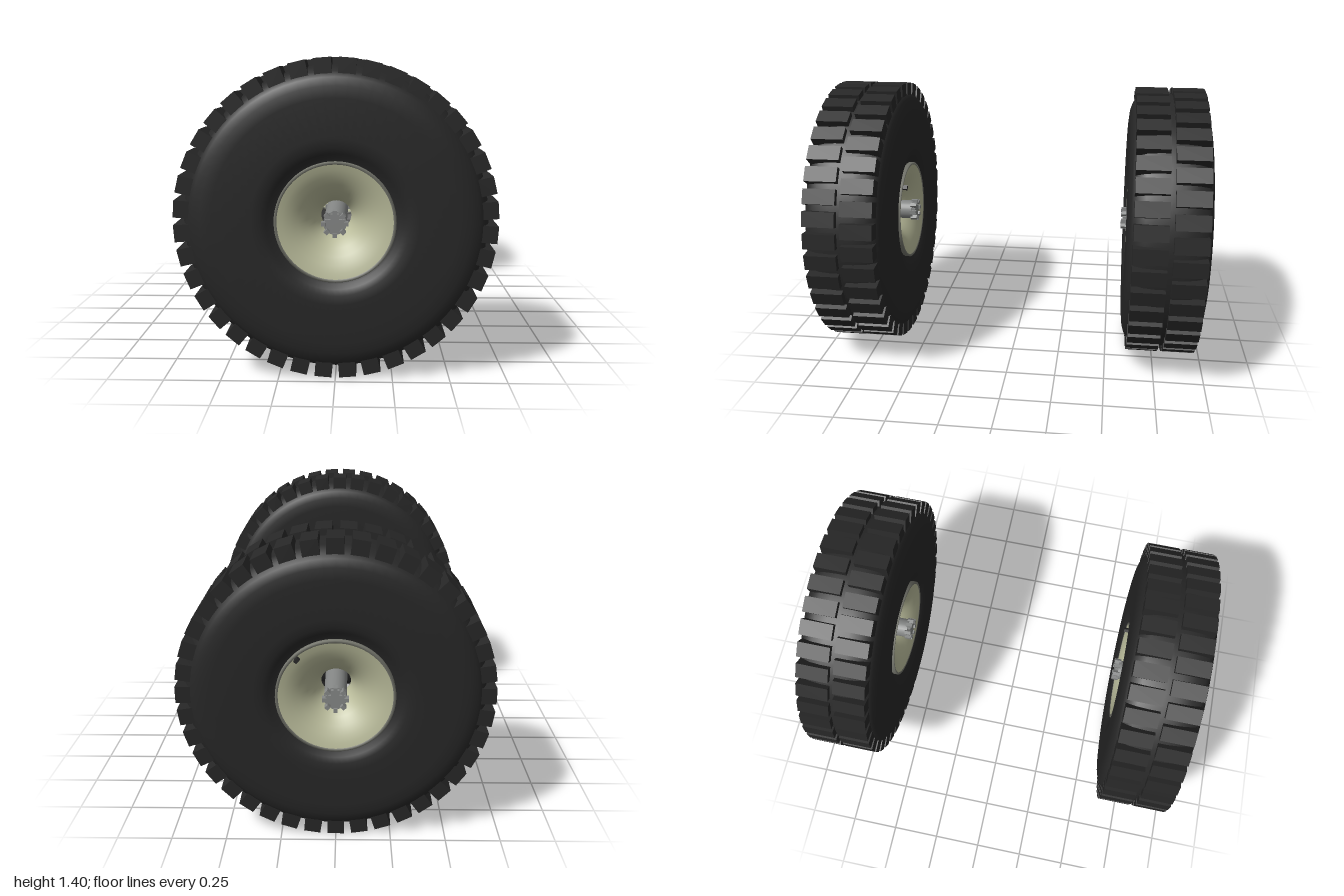
import * as THREE from 'three';
import { mergeGeometries } from 'three/addons/utils/BufferGeometryUtils.js';

const RADIUS = 0.698;   // outer wheel radius, also axle height
const TRACK = 0.78;     // distance of each wheel from the centre
const LUGS = 40;        // tread blocks per row

const mat = (name, color) => Object.assign(new THREE.MeshStandardMaterial({ color }), { name });
const rubber = mat('black rubber', 0x272727);
const tan = mat('pale tan', 0xbabc9b);
const steel = mat('axle grey', 0x858786);
const lipGrey = mat('rim edge grey', 0x74756c);

function add(group, name, geometry, material) {
  const mesh = new THREE.Mesh(geometry, material);
  mesh.name = name;
  group.add(mesh);
  return mesh;
}

// Revolve a half profile of [radius, z] and its mirror image about the z axis
function lathe(half, segments) {
  const mirrored = half.slice().reverse().filter(p => p[1] !== 0).map(([r, z]) => [r, -z]);
  const pts = [...half, ...mirrored].map(([r, z]) => new THREE.Vector2(r, z));
  return new THREE.LatheGeometry(pts, segments).rotateX(Math.PI / 2);
}

// Two staggered rows of tread blocks
function treadGeometry() {
  const blocks = [];
  for (const side of [-1, 1]) {
    for (let i = 0; i < LUGS; i++) {
      const angle = (i + (side > 0 ? 0.5 : 0)) / LUGS * Math.PI * 2;
      blocks.push(new THREE.BoxGeometry(0.075, 0.077, 0.16)
        .translate(0, RADIUS - 0.0395, side * 0.092)
        .rotateZ(angle));
    }
  }
  return mergeGeometries(blocks);
}

// Axle with a cross and a ring of small teeth on each end
function axleGeometry() {
  const parts = [new THREE.CylinderGeometry(0.05, 0.05, 0.39, 24).rotateX(Math.PI / 2)];
  parts.push(new THREE.BoxGeometry(0.085, 0.036, 0.424), new THREE.BoxGeometry(0.036, 0.085, 0.424));
  for (const side of [-1, 1]) {
    for (let i = 0; i < 8; i++) {
      parts.push(new THREE.BoxGeometry(0.018, 0.02, 0.034)
        .translate(0, 0.048, side * 0.203)
        .rotateZ(i * Math.PI / 4));
    }
  }
  return mergeGeometries(parts.map(p => p.toNonIndexed()));
}

function createWheel(name) {
  const wheel = new THREE.Group();
  wheel.name = name;

  // Tyre body with rounded shoulders and a dip toward the rim
  add(wheel, 'tyre', lathe([
    [0.255, -0.165], [0.275, -0.17], [0.295, -0.184], [0.32, -0.195], [0.36, -0.2],
    [0.53, -0.2], [0.58, -0.195], [0.615, -0.184], [0.64, -0.165], [0.66, -0.12], [0.668, -0.06], [0.668, 0],
  ], 72), rubber);
  add(wheel, 'tread', treadGeometry(), rubber);

  // Trumpet shaped rim with an open bore
  add(wheel, 'rim', lathe([
    [0.25, 0.186], [0.225, 0.18], [0.195, 0.169], [0.16, 0.15], [0.125, 0.122],
    [0.095, 0.085], [0.075, 0.045], [0.068, 0.015], [0.067, 0],
  ], 64), tan);

  // Raised rim edges on both faces
  for (const side of [-1, 1]) {
    const lip = [[0.262, 0.155], [0.262, 0.188], [0.25, 0.188], [0.249, 0.18]];
    const pts = lip.map(([r, z]) => new THREE.Vector2(r, z));
    const edge = add(wheel, 'rimEdge', new THREE.LatheGeometry(pts, 64).rotateX(Math.PI / 2), lipGrey);
    if (side < 0) edge.rotation.y = Math.PI;
  }

  add(wheel, 'axle', axleGeometry(), steel);

  // Small valve on the rear face
  const valve = add(wheel, 'valve', new THREE.BoxGeometry(0.022, 0.016, 0.035), rubber);
  valve.position.set(0.164, 0.176, -0.192);
  valve.rotation.z = -Math.PI / 4;
  return wheel;
}

export function createModel() {
  const model = new THREE.Group();
  model.name = 'wheelPair';
  for (const [name, z] of [['frontWheel', TRACK], ['rearWheel', -TRACK]]) {
    const wheel = createWheel(name);
    wheel.position.set(0, RADIUS, z);
    model.add(wheel);
  }
  return model;
}
